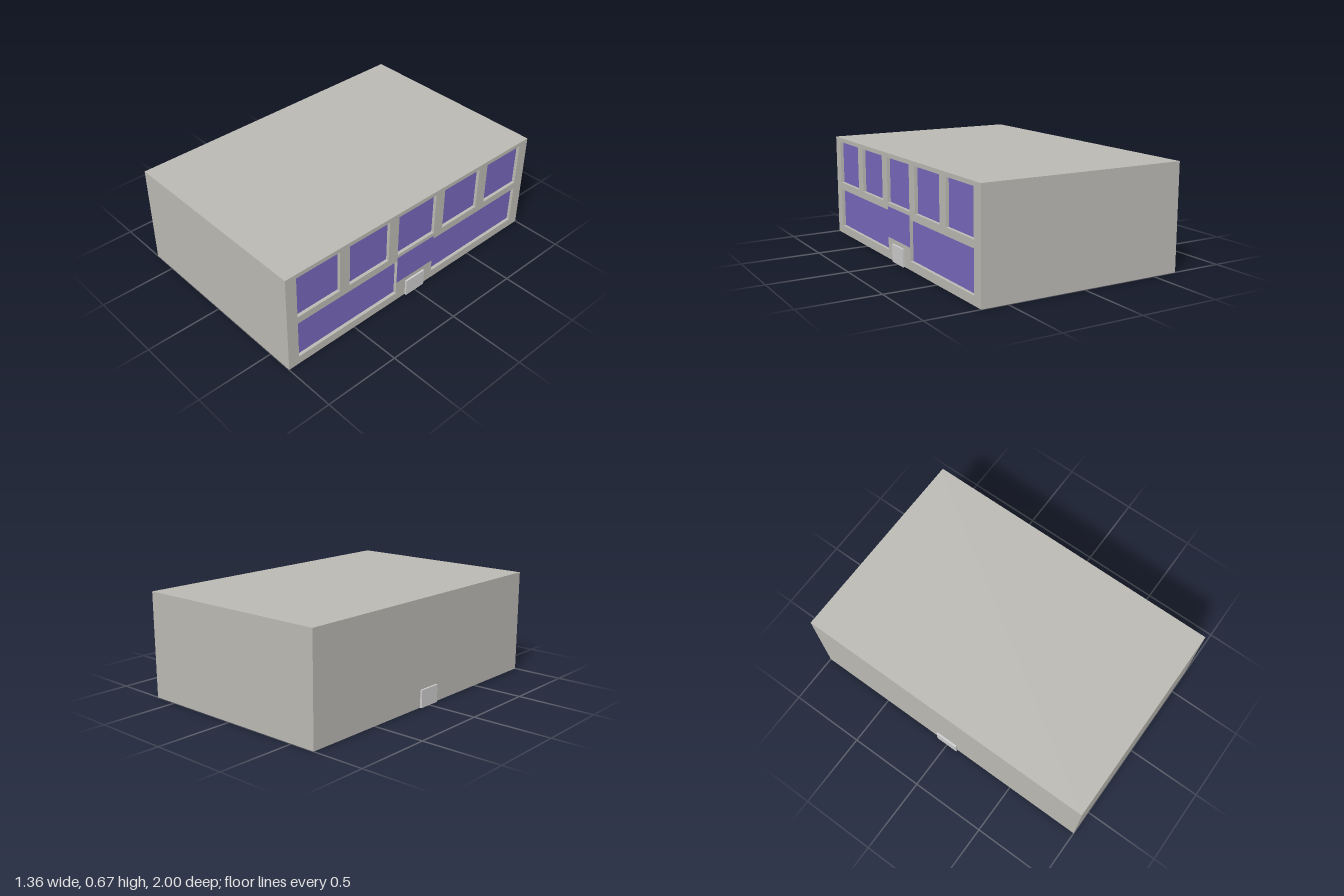
import * as THREE from 'three';

export function createModel() {
  const group = new THREE.Group();
  const wallMat = new THREE.MeshStandardMaterial({ color: 0xbbb9b3 });
  const glassMat = new THREE.MeshStandardMaterial({ color: 0x7867bb });
  const doorMat = new THREE.MeshStandardMaterial({ color: 0xcccccc });

  const wallX = 0.665, height = 0.67, recess = 0.022, skin = 0.001;

  // Box given by its min and max corners
  function addBox(name, mat, [x0, y0, z0], [x1, y1, z1]) {
    const mesh = new THREE.Mesh(new THREE.BoxGeometry(x1 - x0, y1 - y0, z1 - z0), mat);
    mesh.position.set((x0 + x1) / 2, (y0 + y1) / 2, (z0 + z1) / 2);
    mesh.name = name;
    group.add(mesh);
  }

  // Main block behind the window wall
  addBox('building', wallMat, [-wallX, 0, -1], [wallX - recess, height, 1]);

  // Recessed windows: five above, two long ones below
  const windows = [];
  for (let i = -2; i <= 2; i++) {
    windows.push({ name: 'upperWindow', z: i * 0.385, half: 0.155, y0: 0.36, y1: 0.643 });
  }
  for (const s of [-1, 1]) {
    windows.push({ name: 'lowerWindow', z: s * 0.54, half: 0.385, y0: 0.055, y1: 0.312 });
  }

  // Window wall with an opening for each window
  const wall = new THREE.Shape();
  wall.moveTo(-1, 0).lineTo(1, 0).lineTo(1, height).lineTo(-1, height).closePath();
  for (const { name, z, half, y0, y1 } of windows) {
    const a = -z - half, b = -z + half;
    const hole = new THREE.Path();
    hole.moveTo(a, y0).lineTo(a, y1).lineTo(b, y1).lineTo(b, y0).closePath();
    wall.holes.push(hole);
    addBox(name, glassMat,
      [wallX - recess - 0.005, y0, z - half], [wallX - recess + skin, y1, z + half]);
  }
  const wallGeo = new THREE.ExtrudeGeometry(wall, { depth: recess, bevelEnabled: false });
  wallGeo.rotateY(Math.PI / 2);
  const windowWall = new THREE.Mesh(wallGeo, wallMat);
  windowWall.position.x = wallX - recess;
  windowWall.name = 'windowWall';
  group.add(windowWall);

  // Flush window over the door
  addBox('entranceWindow', glassMat,
    [wallX - 0.01, 0.14, -0.154], [wallX + skin, 0.335, 0.154]);

  // Doors on both long sides
  addBox('leftDoor', doorMat, [wallX - 0.01, 0, -0.077], [0.678, 0.112, 0.077]);
  addBox('rightDoor', doorMat, [-0.678, 0, -0.077], [-wallX + 0.01, 0.112, 0.077]);

  return group;
}
